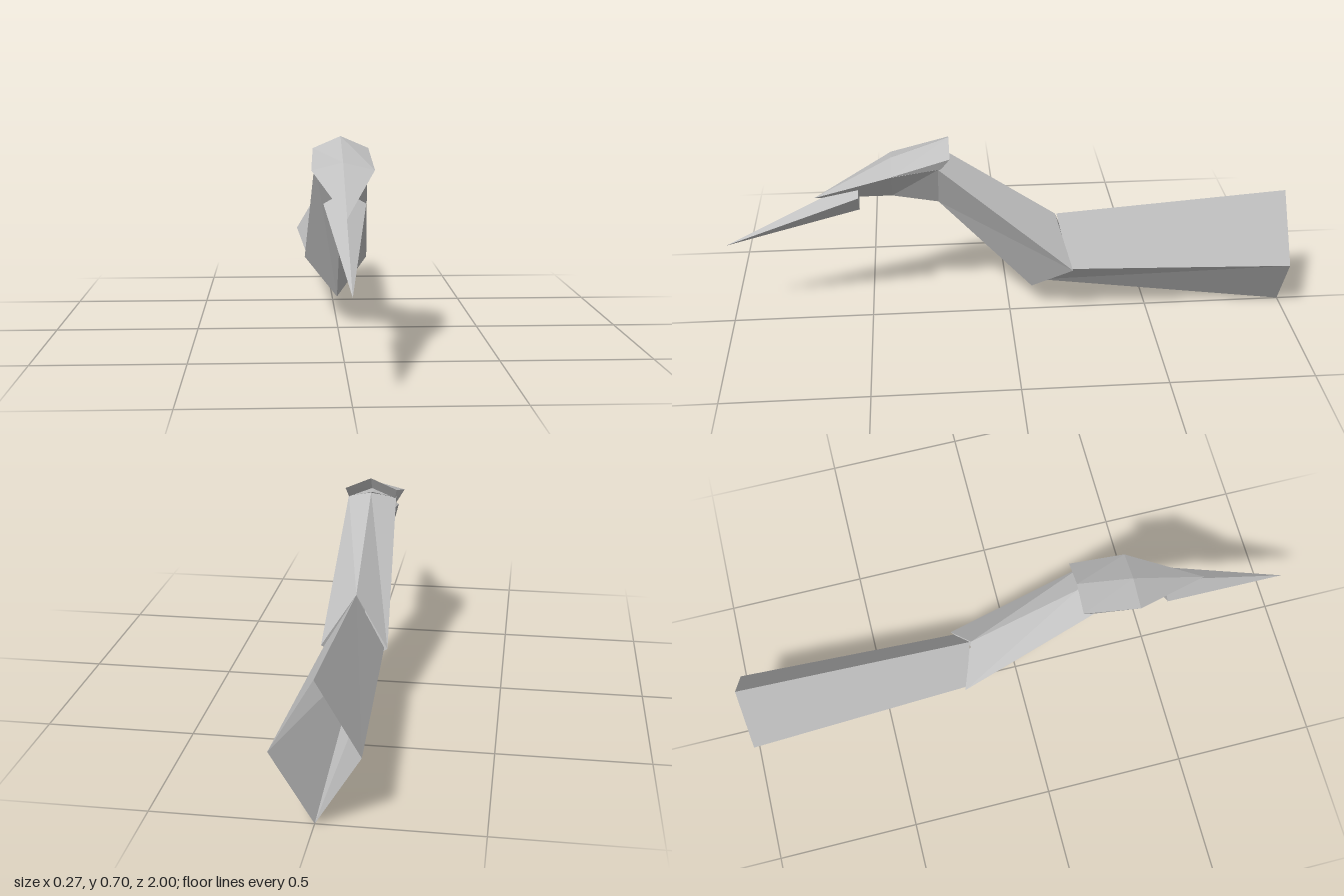
import * as THREE from 'three';

const grey = new THREE.MeshStandardMaterial({ color: 0xc0c0c0, side: THREE.DoubleSide, flatShading: true });
grey.name = 'plain grey';

// Skin a list of point rows (running towards +z) with flat facets
function loft(name, rows, closed) {
  const pos = [];
  const tri = (a, b, c) => {
    const area = new THREE.Triangle(...[a, b, c].map(p => new THREE.Vector3(...p))).getArea();
    if (area > 1e-7) pos.push(...a, ...b, ...c);
  };
  for (let r = 0; r < rows.length - 1; r++) {
    const a = rows[r], b = rows[r + 1], n = a.length;
    for (let i = 0; i < (closed ? n : n - 1); i++) {
      const j = (i + 1) % n;
      tri(a[i], b[i], b[j]);
      tri(a[i], b[j], a[j]);
    }
  }
  const g = new THREE.BufferGeometry();
  g.setAttribute('position', new THREE.Float32BufferAttribute(pos, 3));
  g.computeVertexNormals();
  const mesh = new THREE.Mesh(g, grey);
  mesh.name = name;
  return mesh;
}

// Diamond section: top, side and bottom given as height and z
const diamond = (w, top, side, bottom) =>
  [[0, ...top], [w, ...side], [0, ...bottom], [-w, ...side]];
// Section shrunk to one point
const point = (n, y, z) => Array.from({ length: n }, () => [0, y, z]);

export function createModel() {
  const model = new THREE.Group();
  model.name = 'jointedNeck';

  // Rear tube, open at the back
  model.add(loft('rearSegment', [
    diamond(0.137, [0.455, -0.985], [0.222, -0.99], [0.003, -1]),
    diamond(0.103, [0.395, -0.165], [0.225, -0.207], [0.125, -0.11]),
  ], true));

  // Rising middle tube
  model.add(loft('middleSegment', [
    diamond(0.115, [0.395, -0.16], [0.225, -0.215], [0.1, -0.08]),
    diamond(0.087, [0.65, 0.215], [0.625, 0.25], [0.46, 0.25]),
  ], true));

  // Throat and underside of the head
  model.add(loft('throat', [
    diamond(0.087, [0.645, 0.24], [0.625, 0.25], [0.46, 0.25]),
    diamond(0.1, [0.62, 0.41], [0.608, 0.41], [0.49, 0.41]),
    point(4, 0.49, 0.68),
  ], true));

  // Roof of the head, with a folded rim
  const capRow = (w, top, side, inner) =>
    [[-inner[0], inner[1], inner[2]], [-w, ...side], [0, ...top], [w, ...side], inner];
  model.add(loft('headCap', [
    capRow(0.093, [0.705, 0.21], [0.665, 0.21], [0.085, 0.625, 0.24]),
    capRow(0.102, [0.635, 0.41], [0.61, 0.41], [0.102, 0.61, 0.41]),
    point(5, 0.49, 0.68),
  ], false));
  model.add(loft('headRim', [
    [[-0.085, 0.625, 0.24], [0, 0.66, 0.24], [0.085, 0.625, 0.24]],
    [[-0.093, 0.665, 0.21], [0, 0.705, 0.21], [0.093, 0.665, 0.21]],
  ], false));

  // Pointed beak, closed at the back
  model.add(loft('beak', [
    point(4, 0.51, 0.525),
    diamond(0.067, [0.555, 0.525], [0.517, 0.525], [0.44, 0.525]),
    point(4, 0.315, 1),
  ], true));

  return model;
}
